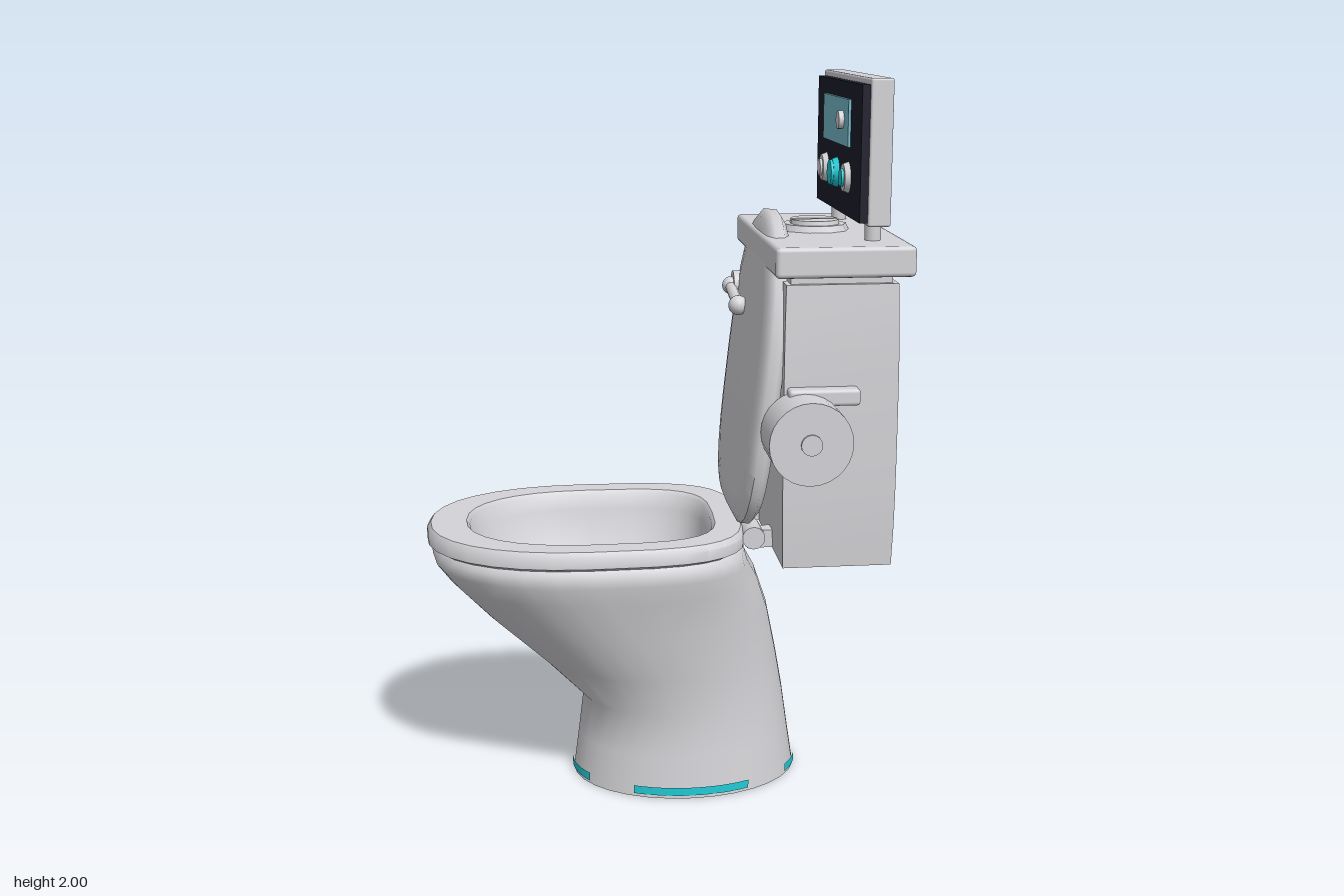
import * as THREE from 'three';
import { toCreasedNormals } from 'three/addons/utils/BufferGeometryUtils.js';
import { RoundedBoxGeometry } from 'three/addons/geometries/RoundedBoxGeometry.js';

const mat = (name, color) => {
  const m = new THREE.MeshStandardMaterial({ color });
  m.name = name;
  return m;
};

// Loft through egg-shaped rings [y, centreZ, halfWidth, halfLength, frontPower, backPower]
function loft(rings, { bottom = false, top = false, crease = 0.7, n = 32 } = {}) {
  const pos = [], idx = [];
  for (const [y, cz, a, b, nf = 2, nb = 2] of rings) {
    for (let i = 0; i < n; i++) {
      const t = (i / n) * Math.PI * 2, c = Math.cos(t), s = Math.sin(t);
      const e = 2 / (s >= 0 ? nf : nb);
      pos.push(a * Math.sign(c) * Math.abs(c) ** e, y, cz + b * Math.sign(s) * Math.abs(s) ** e);
    }
  }
  for (let j = 0; j < rings.length - 1; j++) {
    for (let i = 0; i < n; i++) {
      const p = j * n + i, q = j * n + (i + 1) % n;
      idx.push(p, p + n, q, q, p + n, q + n);
    }
  }
  const cap = (j, flip) => {
    const c = pos.length / 3;
    pos.push(0, rings[j][0], rings[j][1]);
    for (let i = 0; i < n; i++) {
      const p = j * n + i, q = j * n + (i + 1) % n;
      idx.push(c, ...(flip ? [q, p] : [p, q]));
    }
  };
  if (bottom) cap(0, false);
  if (top) cap(rings.length - 1, true);
  const g = new THREE.BufferGeometry();
  g.setAttribute('position', new THREE.Float32BufferAttribute(pos, 3));
  g.setIndex(idx);
  return toCreasedNormals(g, crease);
}

export function createModel() {
  const white = mat('porcelain', 0xd4d4d8);
  const dark = mat('panelNavy', 0x1c1c2c);
  const cyan = mat('cyanLight', 0x22cbd6);
  const blue = mat('displayBlue', 0x78bccd);
  const waterBlue = mat('water', 0xa6c6d4);

  const model = new THREE.Group();
  model.name = 'toilet';
  const body = new THREE.Group();
  body.name = 'turnedBody';
  body.rotation.y = -Math.PI / 6;
  model.add(body);

  // Everything is placed relative to the toilet's own centre line
  const cx = -0.037;
  const add = (name, geo, m, x, y, z, rx = 0, rz = 0) => {
    const mesh = new THREE.Mesh(geo, m);
    mesh.name = name;
    mesh.position.set(cx + x, y, z);
    mesh.rotation.set(rx, 0, rz);
    body.add(mesh);
    return mesh;
  };
  const box = (w, h, d) => new THREE.BoxGeometry(w, h, d);
  const cyl = (r, h, n = 24, r2 = r) => new THREE.CylinderGeometry(r2, r, h, n);
  const Q = Math.PI / 2;

  // Pedestal and outer bowl
  add('pedestalBowl', loft([
    [0, 0.024, 0.249, 0.325],
    [0.12, 0.025, 0.24, 0.308],
    [0.24, 0.026, 0.23, 0.292],
    [0.36, 0.095, 0.255, 0.34, 2, 2.1],
    [0.5, 0.185, 0.288, 0.402, 2.05, 2.3],
    [0.61, 0.255, 0.318, 0.435, 2.15, 2.8],
    [0.665, 0.29, 0.334, 0.44, 2.2, 3.3],
    [0.7, 0.3, 0.338, 0.44, 2.2, 3.5],
    [0.715, 0.303, 0.325, 0.428, 2.2, 3.5],
  ], { bottom: true, crease: 1 }), white, 0, 0, 0);

  // Seat ring that runs down into the inner bowl
  add('seatAndInnerBowl', loft([
    [0.715, 0.305, 0.325, 0.43, 2.2, 3.5],
    [0.725, 0.305, 0.341, 0.446, 2.2, 3.5],
    [0.755, 0.305, 0.341, 0.446, 2.2, 3.5],
    [0.77, 0.305, 0.33, 0.435, 2.2, 3.5],
    [0.77, 0.29, 0.265, 0.35, 2.3, 3.5],
    [0.76, 0.29, 0.256, 0.341, 2.3, 3.5],
    [0.715, 0.29, 0.25, 0.335, 2.3, 3.5],
    [0.6, 0.262, 0.217, 0.292, 2.3, 3.2],
    [0.48, 0.22, 0.165, 0.222, 2.3, 3],
  ]), white, 0, 0, 0);
  add('water', loft([
    [0.478, 0.22, 0.168, 0.225, 2.3, 3], [0.484, 0.22, 0.168, 0.225, 2.3, 3],
  ], { top: true }), waterBlue, 0, 0, 0);

  // Four glowing strips around the foot
  for (let i = 0; i < 4; i++) {
    const strip = add('footLight', new THREE.CylinderGeometry(1, 1, 0.024, 12, 1, true,
      i * Q - Math.PI / 6, Math.PI / 3), cyan, 0, 0.022, 0.024);
    strip.scale.set(0.252, 1, 0.328);
  }

  // Cistern, slightly narrowed at both ends
  const tank = new THREE.BoxGeometry(0.69, 0.77, 0.306, 1, 8, 1);
  const p = tank.attributes.position;
  for (let i = 0; i < p.count; i++) {
    const k = 1 - 0.03 * Math.abs(p.getY(i) / 0.385) ** 3;
    p.setX(i, p.getX(i) * k);
    p.setZ(i, p.getZ(i) * k);
  }
  tank.computeVertexNormals();
  add('cistern', tank, white, 0, 1.093, -0.36);
  add('cisternNeck', box(0.64, 0.04, 0.27), white, 0, 1.49, -0.36);
  add('cisternLid', new RoundedBoxGeometry(0.757, 0.08, 0.367, 2, 0.012), white, 0, 1.54, -0.361);

  // Raised seat cover leaning on the cistern
  add('seatCover', loft([
    [-0.033, 0, 0.27, 0.36, 2.2, 3.3],
    [-0.028, 0, 0.315, 0.41, 2.2, 3.5],
    [-0.012, 0, 0.338, 0.433, 2.2, 3.5],
    [0.012, 0, 0.338, 0.433, 2.2, 3.5],
    [0.03, 0, 0.315, 0.41, 2.2, 3.5],
  ], { bottom: true, top: true, crease: 1 }), white, 0, 1.206, -0.175, -Q - 0.115);
  for (const s of [-1, 1]) {
    add('hinge', cyl(0.032, 0.1, 16), white, s * 0.13, 0.745, -0.155, 0, Q);
    add('hingeArm', box(0.05, 0.05, 0.1), white, s * 0.13, 0.735, -0.19);
  }

  // Flush lever
  add('leverBase', cyl(0.042, 0.09, 20), white, -0.263, 1.385, -0.195, Q);
  add('leverArm', cyl(0.016, 0.17, 12), white, -0.175, 1.37, -0.143, 0, Q - 0.15);
  add('leverHub', new THREE.SphereGeometry(0.026, 16, 12), white, -0.263, 1.384, -0.145);
  add('leverKnob', new THREE.SphereGeometry(0.028, 16, 12), white, -0.088, 1.355, -0.143);

  // Paper roll and its holder
  add('paperRoll', cyl(0.11, 0.15, 28), white, 0.415, 1.09, -0.257, 0, Q);
  add('rollCore', cyl(0.028, 0.16, 16), white, 0.417, 1.09, -0.257, 0, Q);
  add('rollHolder', new RoundedBoxGeometry(0.05, 0.045, 0.19, 2, 0.01), white, 0.36, 1.187, -0.31);

  // Twin push buttons on the lid
  add('buttonRing', cyl(0.098, 0.02, 10, 0.088), white, 0, 1.587, -0.342);
  for (const s of [-1, 1]) {
    add('pushButton', new THREE.CylinderGeometry(0.065, 0.07, 0.022, 10, 1, false,
      s > 0 ? 0 : Math.PI, Math.PI), white, s * 0.008, 1.598, -0.342);
    add('pushButtonSide', box(0.004, 0.022, 0.13), white, s * 0.01, 1.598, -0.342);
  }

  // Control screen on two short legs
  add('screenCase', new RoundedBoxGeometry(0.648, 0.377, 0.06, 2, 0.006), white, -0.004, 1.8115, -0.455);
  for (const x of [-0.225, 0.24]) add('screenLeg', cyl(0.022, 0.06, 14), white, x, 1.602, -0.455);
  add('screenPanel', box(0.618, 0.352, 0.022), dark, 0.003, 1.808, -0.415);
  add('display', box(0.356, 0.124, 0.008), blue, -0.007, 1.878, -0.401);
  add('displayButton', cyl(0.024, 0.02, 18), white, 0.092, 1.883, -0.393, Q);

  // Row of three dials
  [[white, 0.024], [cyan, 0.034], [cyan, 0.024]].forEach(([m, r], i) => {
    const x = -0.163 + i * 0.156;
    add('dialRim', cyl(0.042, 0.016, 24, 0.036), i === 1 ? cyan : white, x, 1.735, -0.397, Q);
    add('dialCap', cyl(r, 0.02, 20), m, x, 1.735, -0.392, Q);
  });
  return model;
}
